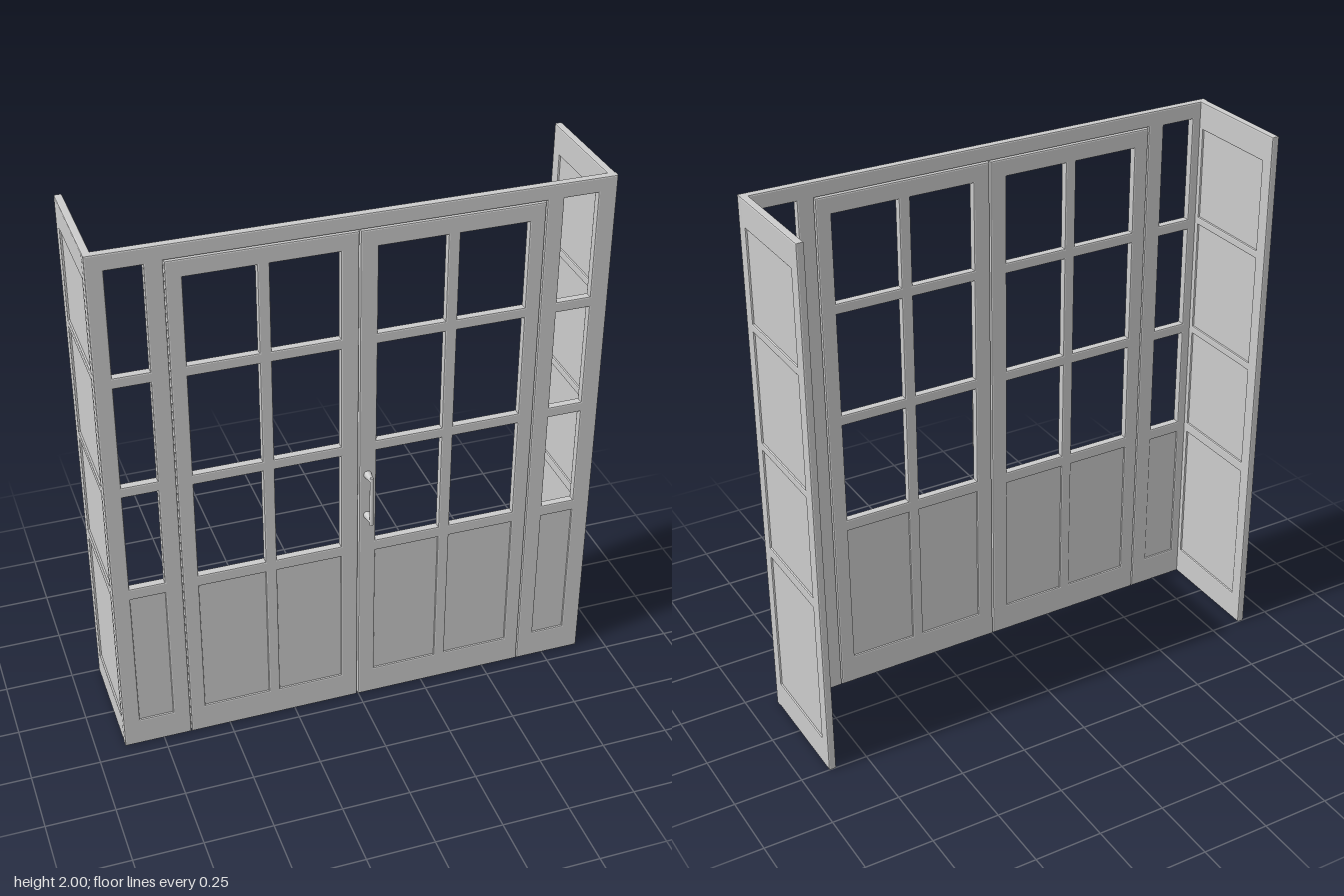
import * as THREE from 'three';

const material = new THREE.MeshStandardMaterial({ color: 0xcccccc });
const THICK = 0.03, BEVEL = 0.005;
const ROWS = [[0.705, 1.09], [1.13, 1.515]];
const LOWER = [0.11, 0.66];

const rect = (P, x0, x1, y0, y1) => new P([
  [x0, y0], [x1, y0], [x1, y1], [x0, y1],
].map(([x, y]) => new THREE.Vector2(x, y)));

function addMesh(parent, name, geometry, x = 0, y = 0, z = 0) {
  const mesh = new THREE.Mesh(geometry, material);
  mesh.name = name;
  mesh.position.set(x, y, z);
  parent.add(mesh);
  return mesh;
}

// Bevelled frame cut with openings; those marked solid get a recessed panel
function framedBoard(name, outline, openings, thick = THICK) {
  const group = new THREE.Group();
  group.name = name;
  for (const [x0, x1, y0, y1] of openings) outline.holes.push(rect(THREE.Path, x0, x1, y0, y1));
  const frame = new THREE.ExtrudeGeometry(outline, {
    depth: thick - 2 * BEVEL, bevelEnabled: true, bevelSegments: 2,
    bevelSize: BEVEL, bevelThickness: BEVEL, bevelOffset: -BEVEL,
  });
  addMesh(group, name + 'Frame', frame, 0, 0, BEVEL);
  for (const [x0, x1, y0, y1, solid] of openings) {
    if (!solid) continue;
    const panel = new THREE.BoxGeometry(x1 - x0 + 0.004, y1 - y0 + 0.004, thick - 0.014);
    addMesh(group, name + 'Panel', panel, (x0 + x1) / 2, (y0 + y1) / 2, thick / 2);
  }
  return group;
}

// One column: solid panel below, three open lights above
const column = (x0, x1, top) => [
  [x0, x1, ...LOWER, true],
  ...[...ROWS, [1.555, top]].map(([a, b]) => [x0, x1, a, b, false]),
];

export function createModel() {
  const model = new THREE.Group();
  model.name = 'doorFront';

  // Fixed surround: two sidelights joined by the head rail
  const surround = new THREE.Shape([
    [-0.895, 0], [-0.648, 0], [-0.648, 1.945], [0.645, 1.945],
    [0.645, 0], [0.895, 0], [0.895, 2], [-0.895, 2],
  ].map(([x, y]) => new THREE.Vector2(x, y)));
  const front = framedBoard('surround', surround,
    [...column(-0.835, -0.71, 1.94), ...column(0.705, 0.828, 1.945)]);
  front.position.z = 0.168;
  model.add(front);

  // Double doors
  const doors = [
    ['rightDoor', -0.645, -0.006, [[-0.59, -0.347], [-0.306, -0.068]]],
    ['leftDoor', -0.002, 0.642, [[0.06, 0.3], [0.342, 0.587]]],
  ];
  for (const [name, x0, x1, cols] of doors) {
    const door = framedBoard(name, rect(THREE.Shape, x0, x1, 0, 1.941),
      cols.flatMap(([a, b]) => column(a, b, 1.877)));
    door.position.z = 0.168;
    model.add(door);
  }

  // Return walls with four recessed panels each
  for (const [name, x] of [['leftWall', 0.867], ['rightWall', -0.895]]) {
    const panels = [LOWER, [0.7, 1.09], [1.12, 1.535], [1.565, 1.9]]
      .map(([a, b]) => [-0.15, 0.2, a, b, true]);
    const wall = framedBoard(name, rect(THREE.Shape, -0.173, 0.25, 0, 2), panels, 0.028);
    wall.rotation.y = Math.PI / 2;
    wall.position.x = x;
    model.add(wall);
  }

  // Pull handle: a grip on two tapered posts
  const handle = new THREE.Group();
  handle.name = 'handle';
  addMesh(handle, 'grip', new THREE.CylinderGeometry(0.007, 0.007, 0.2, 12), 0.028, 0.91, 0.242);
  for (const y of [0.824, 0.996]) {
    const post = new THREE.CylinderGeometry(0.007, 0.015, 0.05, 12);
    post.rotateX(Math.PI / 2);
    addMesh(handle, 'post', post, 0.028, y, 0.22);
  }
  model.add(handle);

  return model;
}
